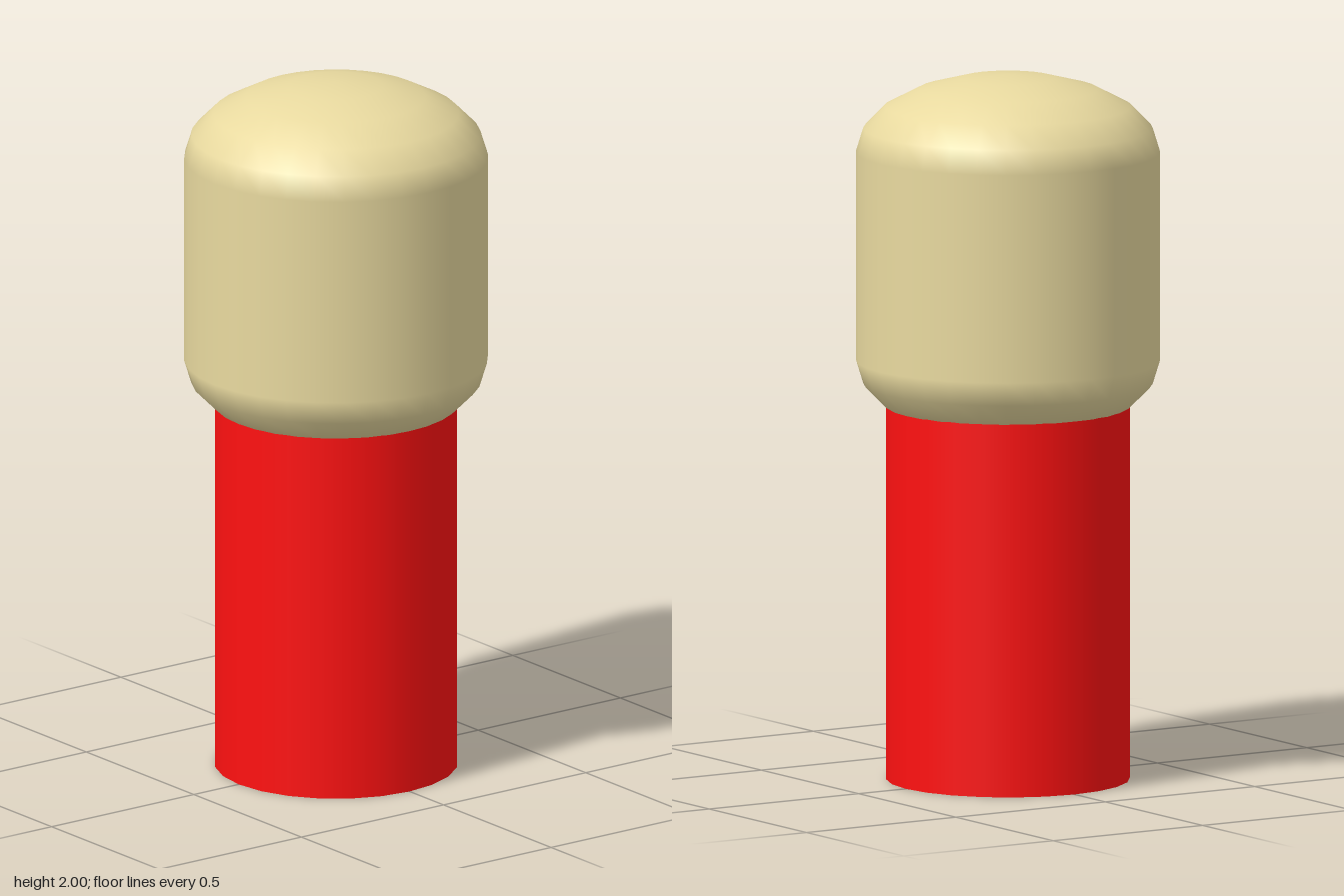
import * as THREE from 'three';

const RADIUS = 0.427;
const CAP_HEIGHT = 0.22;
const HEAD_BOTTOM = 1.19; // straight wall of the head runs between these heights
const HEAD_TOP = 1.78;

export function createModel() {
  const group = new THREE.Group();

  // Plain round handle, its top end tucked inside the head
  const handleHeight = 1.2;
  const handle = new THREE.Mesh(
    new THREE.CylinderGeometry(0.342, 0.342, handleHeight, 24),
    new THREE.MeshStandardMaterial({ color: 0xff1111 })
  );
  handle.name = 'handle';
  handle.position.y = handleHeight / 2;
  group.add(handle);

  // Head: a capsule squashed in height so its ends become shallow domes
  const squash = CAP_HEIGHT / RADIUS;
  const headGeometry = new THREE.CapsuleGeometry(RADIUS, (HEAD_TOP - HEAD_BOTTOM) / squash, 5, 32);
  headGeometry.scale(1, squash, 1);
  const head = new THREE.Mesh(
    headGeometry,
    new THREE.MeshStandardMaterial({ color: 0xe8d99f })
  );
  head.name = 'head';
  head.position.y = (HEAD_TOP + HEAD_BOTTOM) / 2;
  group.add(head);

  return group;
}
